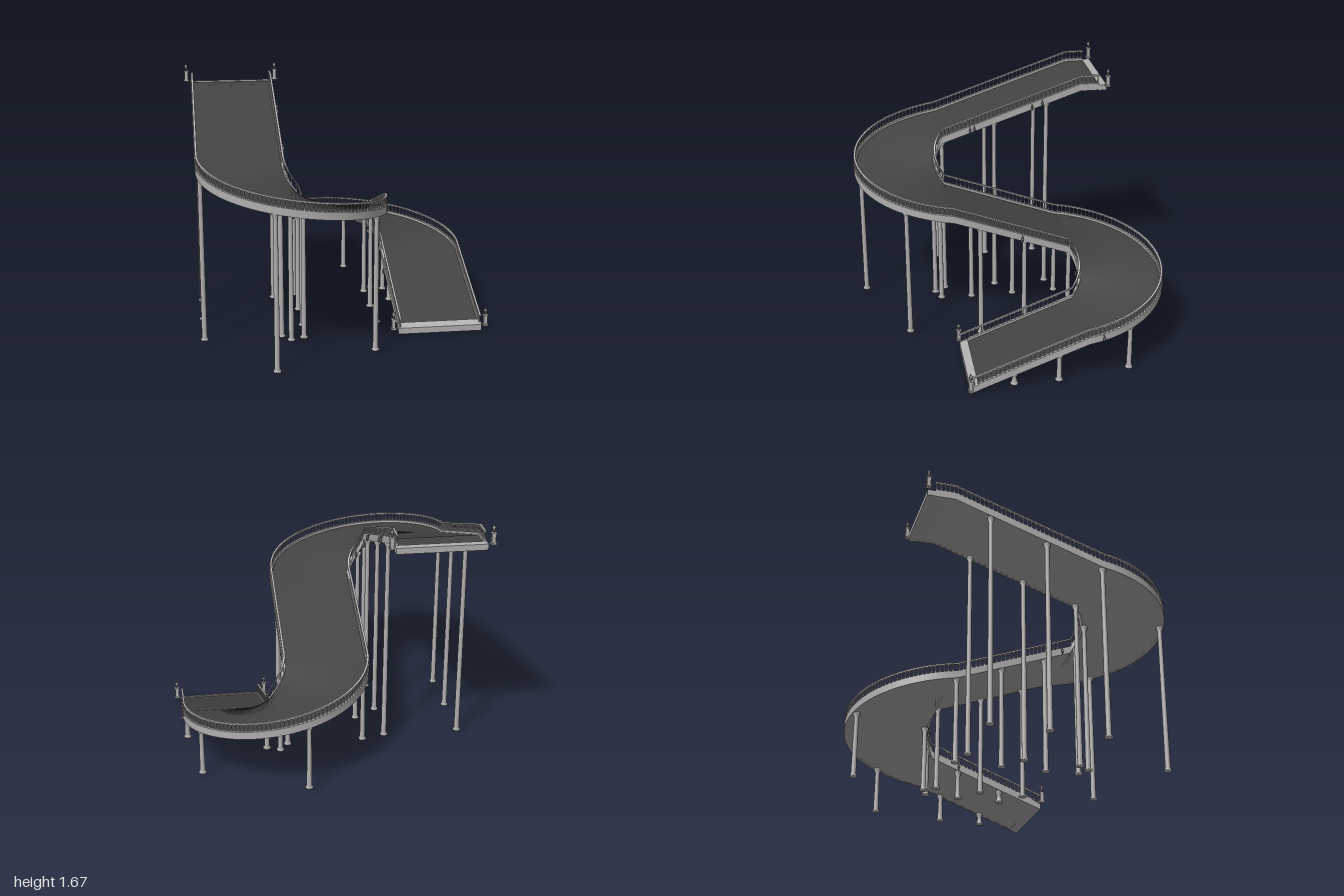
import * as THREE from 'three';
import { mergeGeometries } from 'three/addons/utils/BufferGeometryUtils.js';

const mat = (name, color) => {
  const m = new THREE.MeshStandardMaterial({ color });
  m.name = name;
  return m;
};

// Centreline: landing, straight, half turn, straight, half turn, straight
const R = 0.33, TURN = Math.PI * R;
const LENGTHS = [0.18, 0.965, TURN, 0.77, TURN, 0.76];
const HEIGHTS = [1.5, 1.5, 1.17, 0.88, 0.6, 0.29, 0];
const TOTAL = LENGTHS.reduce((a, b) => a + b, 0);
const START = LENGTHS.map((_, i) => LENGTHS.slice(0, i).reduce((a, b) => a + b, 0));

// Point and sideways direction of the road at distance s
function frame(s) {
  let k = 0;
  while (k < 5 && s > START[k + 1]) k++;
  const d = s - START[k], f = d / LENGTHS[k];
  const y = HEIGHTS[k] + (HEIGHTS[k + 1] - HEIGHTS[k]) * f;
  const a = Math.PI * f, c = Math.cos(a), n = Math.sin(a);
  if (k < 2) return { x: -0.66, y, z: -0.76 + s, nx: 1, nz: 0, curve: 0 };
  if (k === 2) return { x: -R - R * c, y, z: 0.385 + R * n, nx: c, nz: -n, curve: 1 };
  if (k === 3) return { x: 0, y, z: 0.385 - d, nx: -1, nz: 0, curve: 0 };
  if (k === 4) return { x: R - R * c, y, z: -0.385 - R * n, nx: -c, nz: -n, curve: -1 };
  return { x: 0.66, y, z: -0.385 + d, nx: 1, nz: 0, curve: 0 };
}
const place = (s, u, v) => {
  const f = frame(s);
  return new THREE.Vector3(f.x + f.nx * u, f.y + v, f.z + f.nz * u);
};

// Sweeps a rectangle (u0..u1 across, v0..v1 up) along the road
function sweep(u0, u1, v0, v1, s0 = 0, s1 = TOTAL) {
  const stops = [s0, s1];
  LENGTHS.forEach((len, k) => {
    const n = k === 2 || k === 4 ? 40 : 4;
    for (let i = 0; i < n; i++) {
      const s = START[k] + (len * i) / n;
      if (s > s0 + 1e-4 && s < s1 - 1e-4) stops.push(s);
    }
  });
  stops.sort((a, b) => a - b);
  const prof = [[u0, v0], [u1, v0], [u1, v1], [u0, v1]];
  const pos = [], idx = [];
  const add = (s, p) => pos.push(...place(s, p[0], p[1]).toArray());
  prof.forEach((a, e) => {
    const b = prof[(e + 1) % 4], base = pos.length / 3;
    stops.forEach((s, i) => {
      add(s, a);
      add(s, b);
      if (i) {
        const q = base + 2 * i - 2;
        idx.push(q, q + 1, q + 3, q, q + 3, q + 2);
      }
    });
  });
  const cap = pos.length / 3;
  prof.forEach((p) => add(s0, p));
  prof.forEach((p) => add(s1, p));
  idx.push(cap, cap + 2, cap + 1, cap, cap + 3, cap + 2);
  idx.push(cap + 4, cap + 5, cap + 6, cap + 4, cap + 6, cap + 7);
  const g = new THREE.BufferGeometry();
  g.setAttribute('position', new THREE.Float32BufferAttribute(pos, 3));
  g.setIndex(idx);
  g.computeVertexNormals();
  return g;
}

const lathe = (pts, sides) => new THREE.LatheGeometry(pts.map((p) => new THREE.Vector2(p[0], p[1])), sides);

export function createModel() {
  const root = new THREE.Group();
  root.name = 'windingRamp';
  const asphalt = mat('asphalt', 0x434343);
  const stone = mat('stone', 0xb0b0b0);
  const iron = mat('lampIron', 0x7c7c7c);
  const mesh = (name, geo, material, parent = root) => {
    const m = new THREE.Mesh(geo, material);
    m.name = name;
    parent.add(m);
    return m;
  };

  // Stone slab, dark road surface and the pale strips at both ends
  const strip = 0.053;
  mesh('roadSlab', sweep(-0.264, 0.264, 0.001, 0.02, strip, TOTAL - strip), stone);
  mesh('roadSurface', sweep(-0.264, 0.264, 0.02, 0.034, strip, TOTAL - strip), asphalt);
  mesh('topEndStrip', sweep(-0.285, 0.285, -0.001, 0.038, 0, strip), stone);
  mesh('bottomEndStrip', sweep(-0.284, 0.284, 0, 0.042, TOTAL - strip, TOTAL), stone);

  // Curbs, handrails and balusters on both sides
  const post = lathe([[0.004, 0], [0.0065, 0.012], [0.003, 0.03], [0.005, 0.05]], 6);
  for (const side of [-1, 1]) {
    const name = side < 0 ? 'A' : 'B', u = side * 0.272;
    mesh('curb' + name, sweep(u - 0.01, u + 0.01, 0, 0.05, strip, TOTAL - strip), stone);
    mesh('handrail' + name, sweep(u - 0.007, u + 0.007, 0.098, 0.108, 0.05), stone);
    const posts = [];
    for (let s = 0.06; s < TOTAL - 0.005;) {
      const p = place(s, u, 0.04);
      posts.push(post.clone().scale(1, 1.2, 1).translate(p.x, p.y, p.z));
      s += 0.028 / (1 - (frame(s).curve * u) / R);
    }
    mesh('balusters' + name, mergeGeometries(posts), stone);
  }

  // Columns in pairs under the road
  const turn = (k, deg) => START[k] + (deg / 180) * TURN;
  const stations = [0.415, 0.78, START[2], turn(2, 75), turn(2, 149), START[3] + 0.175, START[3] + 0.47,
    START[4], turn(4, 75), turn(4, 150), START[5] + 0.185, START[5] + 0.475];
  const columns = new THREE.Group();
  columns.name = 'columns';
  root.add(columns);
  for (const s of stations) {
    for (const u of [-0.253, 0.253]) {
      const p = place(s, u, 0.003);
      const h = p.y - 0.03;
      const c = Math.min(0.03, h * 0.4);
      mesh('column', lathe([[0, 0], [0.026, 0], [0.026, 0.01], [0.0175, 0.018], [0.0145, h - c],
        [0.024, h - 0.4 * c], [0.024, h], [0, h]], 12), stone, columns).position.set(p.x, 0.03, p.z);
    }
  }

  // Lamp posts flanking the two ends
  for (const [x, y, z] of [[-0.972, 1.53, -0.76], [-0.347, 1.53, -0.76], [0.342, 0.03, 0.375], [0.967, 0.03, 0.375]]) {
    const lamp = new THREE.Group();
    lamp.name = 'endLamp';
    lamp.position.set(x, y, z);
    root.add(lamp);
    mesh('plinth', new THREE.BoxGeometry(0.034, 0.012, 0.034).translate(0, 0.012, 0), stone, lamp);
    mesh('pedestal', new THREE.BoxGeometry(0.024, 0.06, 0.024).translate(0, 0.046, 0), stone, lamp);
    mesh('pedestalCap', new THREE.BoxGeometry(0.032, 0.008, 0.032).translate(0, 0.078, 0), stone, lamp);
    mesh('lantern', lathe([[0.004, 0.08], [0.006, 0.092], [0.012, 0.11], [0.013, 0.114], [0.004, 0.126], [0, 0.142]], 8), iron, lamp);
  }

  // Small lanterns hung from brackets outside the railing
  const hung = [[0.45, 1], [0.52, 1], [0.92, 1], [0.95, 1], [START[2] + 0.5, 1], [START[3] + 0.06, 1],
    [START[3] + 0.45, -1], [turn(4, 90), -1], [START[5] - 0.05, 1], [START[5] + 0.18, -1]];
  for (const [s, side] of hung) {
    const a = place(s, side * 0.278, 0.04), b = place(s, side * 0.295, 0.04);
    const g = new THREE.Group();
    g.name = 'hangingLamp';
    root.add(g);
    mesh('bracket', new THREE.TubeGeometry(new THREE.LineCurve3(a, b), 1, 0.003, 6), iron, g);
    mesh('lantern', lathe([[0, -0.045], [0.004, -0.036], [0.008, -0.015], [0.004, -0.005], [0, 0.005]], 8), iron, g).position.copy(b);
  }
  return root;
}
